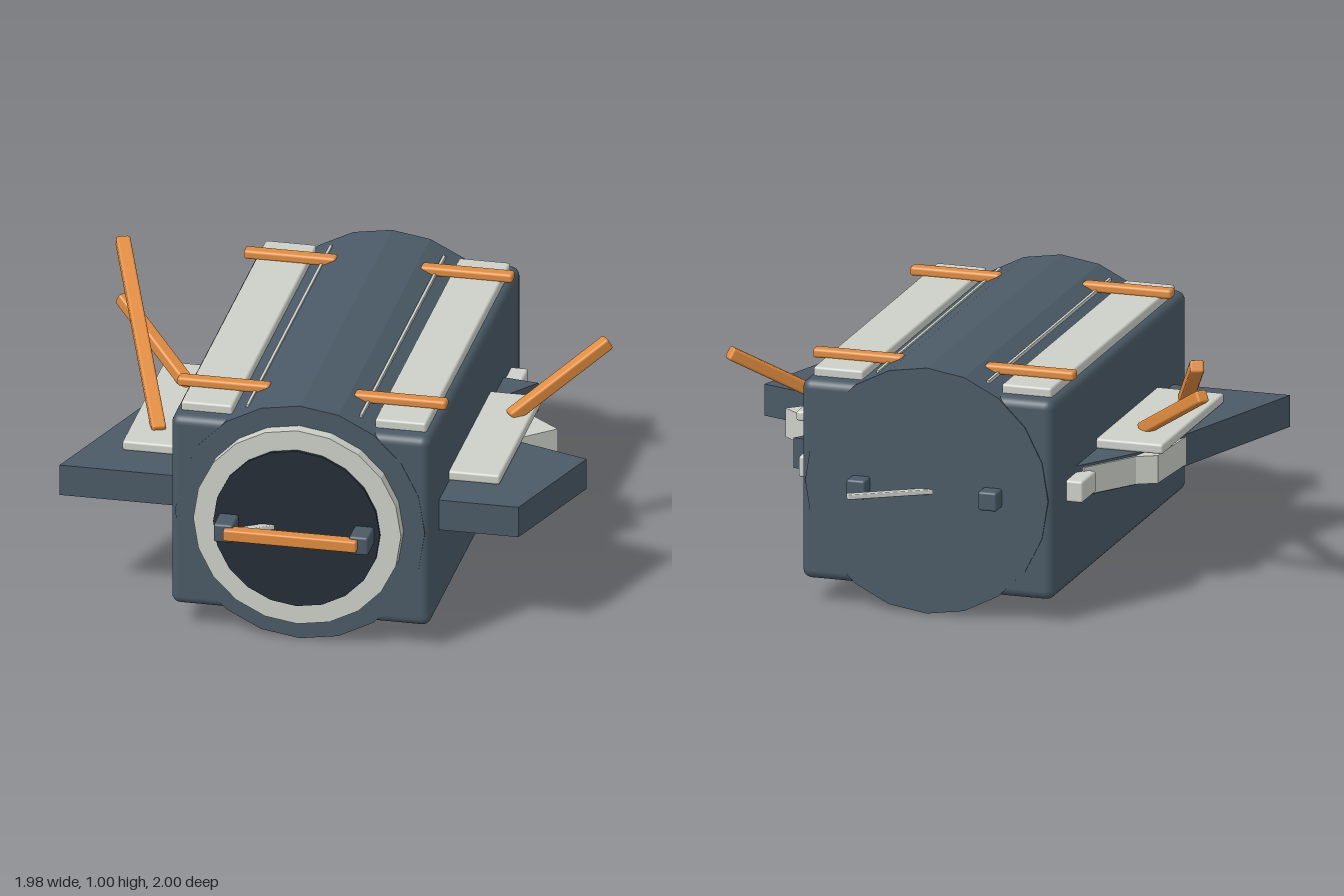
import * as THREE from 'three';
import { RoundedBoxGeometry } from 'three/addons/geometries/RoundedBoxGeometry.js';

const paint = (color, extra = {}) => new THREE.MeshStandardMaterial({ color, ...extra });
const CX = 0.015; // centre line of the hull
const CY = 0.495;

export function createModel() {
  const model = new THREE.Group();
  const slate = paint(0x4a5a66);
  const slateFlat = paint(0x4a5a66, { flatShading: true });
  const pale = paint(0xccd0c8);
  const paleFlat = paint(0xccd0c8, { flatShading: true });
  const orange = paint(0xe08c3e);
  const dark = paint(0x262d37, { flatShading: true });

  function add(name, geometry, material) {
    const mesh = new THREE.Mesh(geometry, material);
    mesh.name = name;
    model.add(mesh);
    return mesh;
  }
  // Rounded box given by its extents
  function block(name, [x0, x1], [y0, y1], [z0, z1], material, radius = 0.01) {
    const mesh = add(name, new RoundedBoxGeometry(x1 - x0, y1 - y0, z1 - z0, 3, radius), material);
    mesh.position.set((x0 + x1) / 2, (y0 + y1) / 2, (z0 + z1) / 2);
    return mesh;
  }
  // Square bar between two points
  function bar(name, from, to, width, height, material, radius = 0.01) {
    const a = new THREE.Vector3(...from), b = new THREE.Vector3(...to);
    const mesh = add(name, new RoundedBoxGeometry(width, height, a.distanceTo(b), 2, radius), material);
    mesh.position.copy(a).add(b).multiplyScalar(0.5);
    mesh.lookAt(b);
    return mesh;
  }
  // Horizontal slab from an outline of [x, z] points
  function slab(name, outline, y0, y1, material) {
    const shape = new THREE.Shape(outline.map(([x, z]) => new THREE.Vector2(x, -z)));
    const geometry = new THREE.ExtrudeGeometry(shape, { depth: y1 - y0, bevelEnabled: false });
    geometry.rotateX(-Math.PI / 2);
    geometry.translate(0, y0, 0);
    return add(name, geometry, material);
  }
  // Disc or drum along z
  function drum(name, radius, z0, z1, material) {
    const geometry = new THREE.CylinderGeometry(radius, radius, z1 - z0, 20);
    geometry.rotateX(Math.PI / 2);
    geometry.translate(CX, CY, (z0 + z1) / 2);
    return add(name, geometry, material);
  }

  // Hull: box with a drum running through it
  block('hullBox', [-0.49, 0.52], [0.1, 0.89], [-0.82, 0.81], slate, 0.035);
  drum('hullDrum', 0.487, -0.825, 0.812, slateFlat);

  // Front ring and dark opening
  drum('frontRing', 0.405, 0.8, 0.86, paleFlat);
  drum('frontOpening', 0.325, 0.84, 0.873, dark);

  // Roof rails with cross straps and thin seams
  for (const s of [-1, 1]) {
    const span = (c, half) => [CX + s * c - half, CX + s * c + half];
    block('roofRail', span(0.378, 0.1), [0.86, 0.925], [-0.755, 0.745], pale);
    for (const z of [-0.6, 0.58])
      block('railStrap', span(0.345, 0.18), [0.92, 0.957], [z - 0.026, z + 0.026], orange, 0.012);
    block('roofSeam', span(0.221, 0.006), [0.9, 0.932], [-0.75, 0.735], pale, 0.002);

    // Stubs at both ends
    block('frontStub', span(0.264, 0.038), [0.455, 0.53], [0.8, 0.975], slate);
    block('rearStub', span(0.264, 0.038), [0.455, 0.53], [-0.89, -0.8], slate);

    // Small blocks behind the side wings
    block('sideBlock', span(0.5, 0.07), [0.45, 0.535], [-0.655, -0.49], pale);
  }
  block('frontHandle', [-0.245, 0.275], [0.473, 0.52], [0.95, 1], orange, 0.008);
  bar('frontLatch', [-0.23, 0.492, 0.955], [0, 0.492, 0.81], 0.03, 0.02, pale, 0.004);
  bar('rearLatch', [0.28, 0.492, -0.985], [-0.02, 0.492, -0.8], 0.03, 0.02, pale, 0.004);

  // Swept side wings
  slab('rightWing', [[-0.96, 0.64], [-0.4, 0.64], [-0.4, -0.54], [-0.49, -0.54], [-0.65, -0.3]], 0.435, 0.56, slateFlat);
  slab('leftWing', [[0.4, 0.64], [0.83, 0.64], [0.99, 0.155], [0.4, -0.05]], 0.435, 0.56, slateFlat);
  slab('leftWingTail', [[0.4, -0.13], [0.66, -0.49], [0.4, -0.53]], 0.435, 0.555, slateFlat);

  // Pale arms against the wings
  slab('rightArm', [[-0.753, 0.03], [-0.4, 0.03], [-0.4, -0.5], [-0.515, -0.515], [-0.655, -0.31], [-0.73, -0.27]], 0.44, 0.55, paleFlat);
  slab('leftArm', [[0.4, 0.27], [0.82, -0.105], [0.6, -0.285], [0.4, -0.285]], 0.438, 0.552, paleFlat);
  block('leftArmTip', [0.45, 0.565], [0.445, 0.54], [-0.385, -0.285], pale);

  // Plates lying on the wings
  block('rightPlate', [-0.755, -0.46], [0.56, 0.6], [-0.288, 0.46], pale);
  block('leftPlate', [0.49, 0.717], [0.56, 0.6], [-0.288, 0.46], pale);

  // Raised poles
  bar('leftPole', [0.64, 0.595, -0.085], [0.965, 0.825, -0.345], 0.05, 0.05, orange);
  bar('rightPole', [-0.61, 0.595, -0.085], [-0.935, 0.825, -0.345], 0.05, 0.05, orange);
  bar('rightLongPole', [-0.64, 0.595, 0.33], [-0.965, 0.99, -0.505], 0.055, 0.05, orange);

  return model;
}
